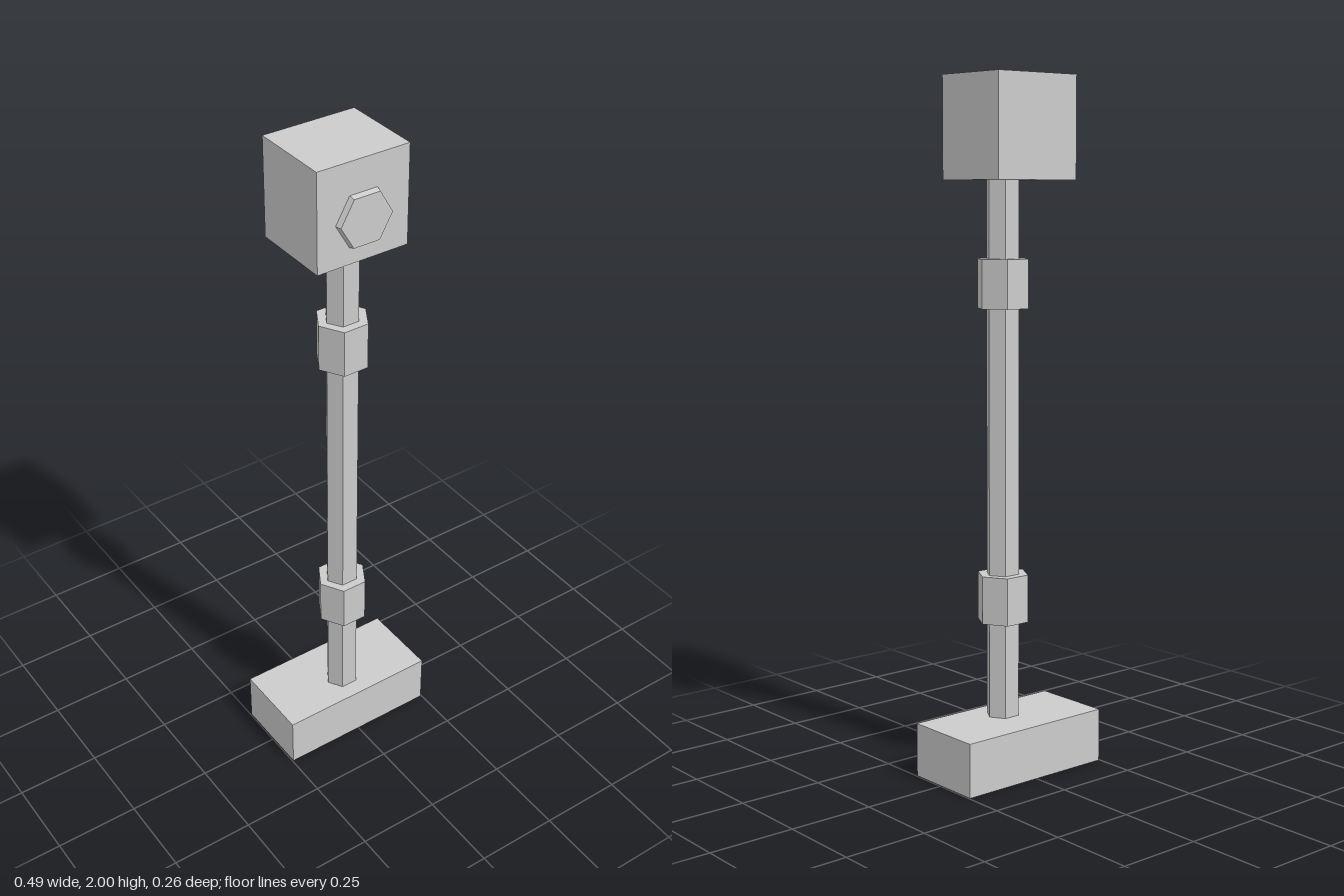
import * as THREE from 'three';

export function createModel() {
  const model = new THREE.Group();
  model.name = 'post';
  const grey = new THREE.MeshStandardMaterial({ color: 0xcccccc, flatShading: true });
  grey.name = 'light grey';

  const add = (name, geometry, x, y, z) => {
    const mesh = new THREE.Mesh(geometry, grey);
    mesh.name = name;
    mesh.position.set(x, y, z);
    model.add(mesh);
    return mesh;
  };
  // six-sided prism with corners pointing along x
  const hex = (top, bottom, height) =>
    new THREE.CylinderGeometry(top, bottom, height, 6, 1, false, Math.PI / 6);

  // foot block and head block
  add('base', new THREE.BoxGeometry(0.494, 0.157, 0.243), 0, 0.0785, -0.009);
  add('head', new THREE.BoxGeometry(0.283, 0.29, 0.243), -0.0005, 1.855, -0.009);

  // pole runs from base to head, slightly flattened in z
  add('pole', hex(0.051, 0.051, 1.553), -0.002, 0.9335, 0.022).scale.z = 0.94;

  // collars around the pole
  add('lowerCollar', hex(0.077, 0.077, 0.14), -0.002, 0.51, 0.022);
  add('upperCollar', hex(0.077, 0.077, 0.14), -0.002, 1.42, 0.022);

  // tapered bolt on the front of the head
  add('bolt', hex(0.08, 0.085, 0.017).rotateX(Math.PI / 2), -0.001, 1.833, 0.121);

  return model;
}
